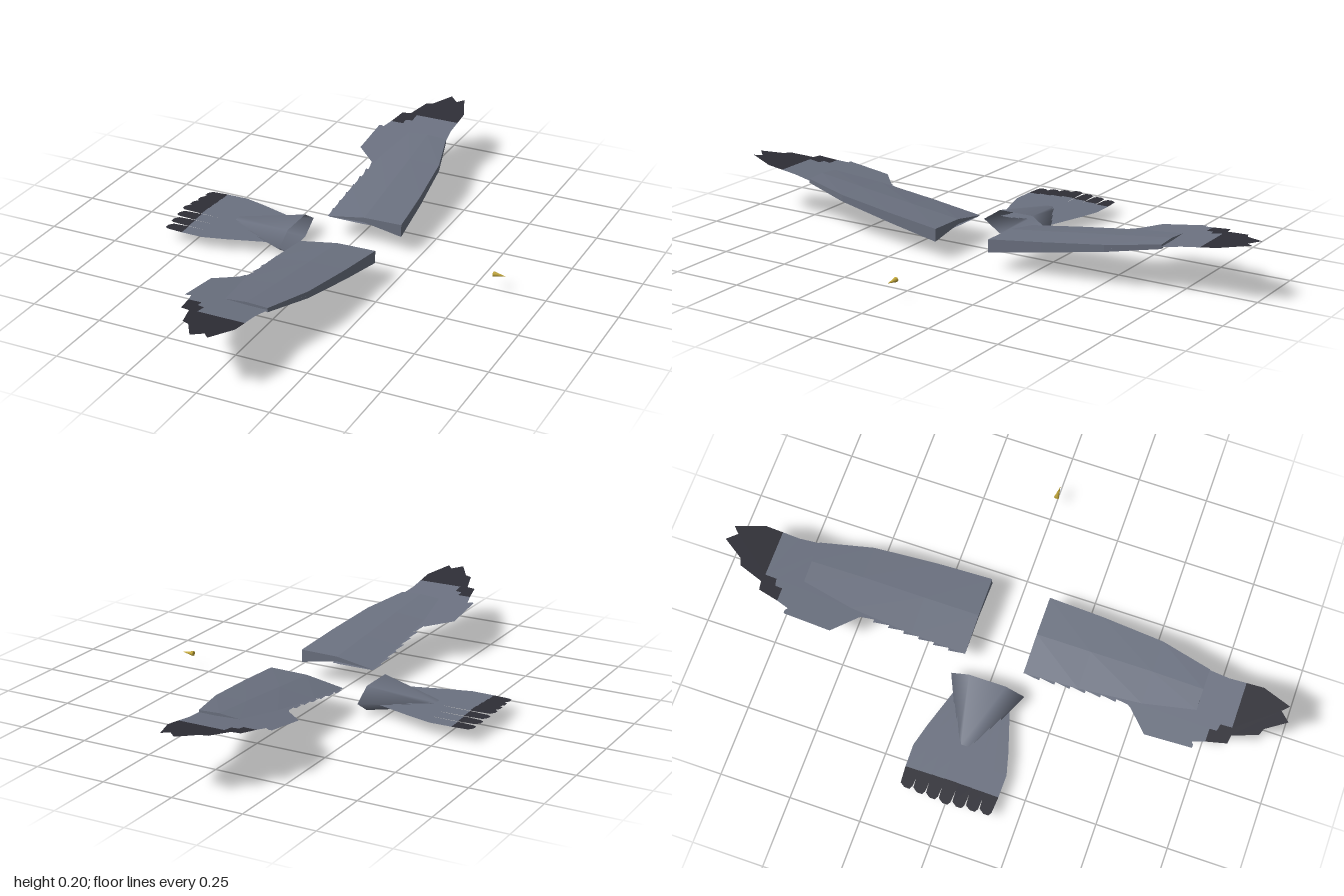
import * as THREE from 'three';

export function createModel() {
  const model = new THREE.Group();
  const mat = (name, color) => new THREE.MeshStandardMaterial({ name, color, side: THREE.DoubleSide });
  const grey = mat('slateGrey', 0x6b7180);
  const dark = mat('charcoal', 0x2e2e36);
  const yellow = mat('beakYellow', 0xc8ac3c);

  const add = (parent, name, geometry, material) => {
    const mesh = new THREE.Mesh(geometry, material);
    mesh.name = name;
    parent.add(mesh);
    return mesh;
  };

  // Flat feather sheet: [x, z] outline laid on a height rule
  const sheet = (outline, side, height) => {
    const g = new THREE.ShapeGeometry(new THREE.Shape(outline.map(([x, z]) => new THREE.Vector2(x, z))));
    const p = g.attributes.position;
    for (let i = 0; i < p.count; i++) {
      const z = p.getY(i);
      p.setXYZ(i, p.getX(i), height(z), z * side);
    }
    g.computeVertexNormals();
    return g;
  };

  // Wing arm: cambered sections [z, leading x, trailing x] joined along the span
  const wingPlane = z => 0.06 + 0.14 * z;
  const armSections = [[0.105, 0.18, -0.1], [0.3, 0.165, -0.1], [0.52, 0.14, -0.09], [0.7, 0.09, -0.06]];
  const armGeometry = side => {
    const pos = [], index = [], n = 5;
    for (const [z, lead, trail] of armSections) {
      const low = 0.06 + 0.153 * (z - 0.11), high = 0.105 + 0.102 * (z - 0.11);
      const mid = (lead + trail) / 2, end = wingPlane(z) + 0.004;
      const ring = [[lead, low], [lead, high], [mid, high * 0.75 + end * 0.25 + 0.004],
        [trail, end], [mid, low + 0.55 * (high - low)]];
      for (const [x, y] of ring) pos.push(x, y, z * side);
    }
    const tri = (a, b, c) => index.push(...(side > 0 ? [a, b, c] : [a, c, b]));
    for (let s = 0; s < armSections.length - 1; s++) {
      for (let i = 0; i < n; i++) {
        const a = s * n + i, b = s * n + (i + 1) % n;
        tri(a, b, b + n);
        tri(a, b + n, a + n);
      }
    }
    // End caps
    const e = (armSections.length - 1) * n;
    for (const [a, b, c] of [[0, 1, 4], [1, 2, 4], [2, 3, 4]]) {
      tri(a, c, b);
      tri(e + a, e + b, e + c);
    }
    const g = new THREE.BufferGeometry();
    g.setAttribute('position', new THREE.Float32BufferAttribute(pos, 3));
    g.setIndex(index);
    const flat = g.toNonIndexed();
    flat.computeVertexNormals();
    return flat;
  };

  const handOutline = [[0.06, 0.11], [0.06, 0.45], [0.12, 0.52], [0.138, 0.53], [0.105, 0.64], [0.09, 0.7],
    [0.08, 0.77], [0.08, 0.83], [-0.085, 0.83], [-0.085, 0.79], [-0.11, 0.785], [-0.11, 0.76], [-0.157, 0.76],
    [-0.18, 0.68], [-0.11, 0.48], [-0.09, 0.48], [-0.09, 0.11]];
  const tipOutline = [[0.08, 0.83], [0.08, 0.89], [0.04, 0.99], [0.018, 0.967], [-0.015, 1], [-0.06, 0.93],
    [-0.085, 0.92], [-0.112, 0.835], [-0.143, 0.83], [-0.157, 0.76], [-0.11, 0.76], [-0.11, 0.785],
    [-0.085, 0.79], [-0.085, 0.83]];
  const innerPrimary = [[-0.07, 0.49], [-0.11, 0.485], [-0.19, 0.56], [-0.19, 0.725], [-0.178, 0.725], [-0.1, 0.66]];

  for (const side of [1, -1]) {
    const wing = new THREE.Group();
    wing.name = side > 0 ? 'leftSideWing' : 'rightSideWing';
    model.add(wing);
    add(wing, 'wingArm', armGeometry(side), grey);
    add(wing, 'wingFeathers', sheet(handOutline, side, wingPlane), grey);
    add(wing, 'wingTip', sheet(tipOutline, side, wingPlane), dark);
    add(wing, 'innerPrimary', sheet(innerPrimary, side, z => wingPlane(z) - 0.003), grey);
    // Overlapping secondary feathers along the trailing edge
    for (let i = 0; i < 7; i++) {
      const z = 0.11 + i * 0.054;
      const o = [[0.04, z], [-0.098, z], [-0.108, z + 0.054], [0.04, z + 0.058]];
      add(wing, 'secondaryFeather', sheet(o, side, v => wingPlane(v) - 0.001 - 0.001 * (i % 2)), grey);
    }
  }

  // Tail: fanned feathers with dark tips, the middle one on top
  const tail = new THREE.Group();
  tail.name = 'tail';
  model.add(tail);
  for (let i = -3; i <= 3; i++) {
    const c = i * 0.0467, y = 0.052 - Math.abs(i) * 0.003;
    const tip = -0.612 + 0.004 * Math.abs(i);
    const vane = [[-0.23, 0.55 * c - 0.024], [-0.37, 0.85 * c - 0.026], [-0.45, c - 0.026], [-0.53, c - 0.025],
      [-0.53, c + 0.025], [-0.45, c + 0.026], [-0.37, 0.85 * c + 0.026], [-0.23, 0.55 * c + 0.024]];
    const end = [[-0.53, c - 0.025], [tip + 0.012, c - 0.021], [tip, c - 0.004], [tip, c + 0.014],
      [tip + 0.012, c + 0.021], [-0.53, c + 0.025]];
    add(tail, 'tailFeather', sheet(vane, 1, () => y), grey);
    add(tail, 'tailFeatherTip', sheet(end, 1, () => y), dark);
  }

  // Flattened open cone at the base of the tail
  const rump = new THREE.CylinderGeometry(1, 0.2, 0.232, 6, 1, true);
  rump.rotateZ(-Math.PI / 2).scale(1, 0.05, 0.132).translate(-0.284, 0.0435, 0);
  add(model, 'tailBase', rump, grey);

  // Beak
  const beak = new THREE.ConeGeometry(0.009, 0.046, 6);
  beak.rotateZ(-Math.PI / 2).translate(0.585, 0.057, 0);
  add(model, 'beak', beak, yellow);

  return model;
}
